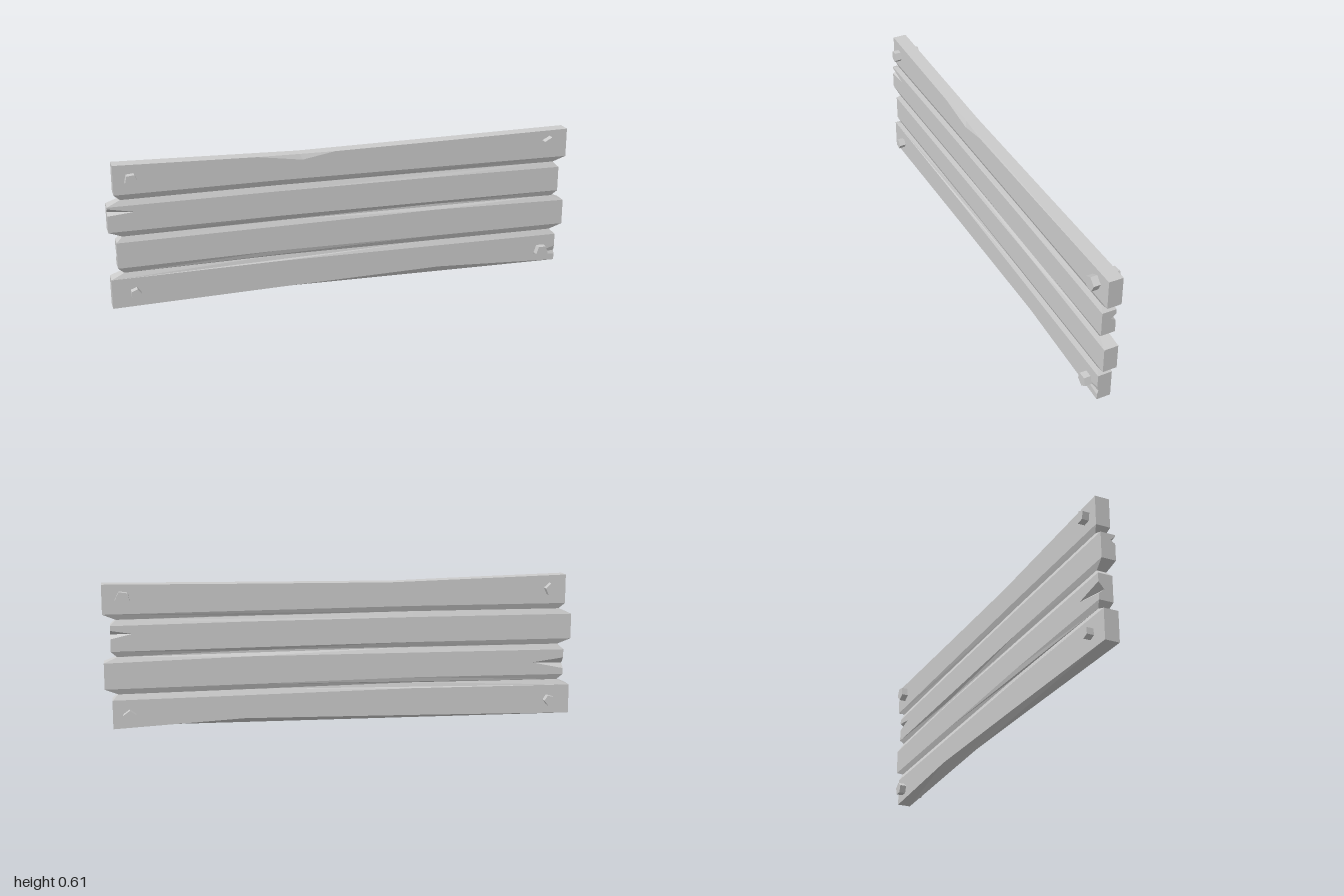
import * as THREE from 'three';

const HALF = 0.03;   // half thickness of a plank
const VALLEY = 0.02; // half thickness at the bottom of a groove
const v = (x, y, z) => new THREE.Vector3(x, y, z);

// Adds a polygon, triangulated along the main axis of its outward direction
function addFace(out, pts, outward) {
  const axis = Math.abs(outward.x) > 0.5 ? ['z', 'y'] : Math.abs(outward.y) > 0.5 ? ['x', 'z'] : ['x', 'y'];
  const flat = pts.map((p) => new THREE.Vector2(p[axis[0]], p[axis[1]]));
  for (const [a, b, c] of THREE.ShapeUtils.triangulateShape(flat, [])) addTriangle(out, pts[a], pts[b], pts[c], outward);
}

function addTriangle(out, a, b, c, outward) {
  const n = b.clone().sub(a).cross(c.clone().sub(a));
  for (const p of n.dot(outward) < 0 ? [a, c, b] : [a, b, c]) out.push(p.x, p.y, p.z);
}

// The two inner walls of a wedge-shaped split, open towards its middle
function addSplitWalls(out, { A, B, P, T }) {
  const middle = v(0, 0, 0).add(A).add(B).add(P).add(T).multiplyScalar(0.25);
  for (const q of [A, B]) {
    const centre = q.clone().add(P).add(T).divideScalar(3);
    addTriangle(out, q, P, T, middle.clone().sub(centre));
  }
}

// Long edges from bottom to top: half thickness and x, y points from left to right
function makeLines() {
  const lines = [{ z: HALF, pts: [[-1, 0], [-0.3, 0.016], [0.42, 0.03], [0.97, 0.004]] }];
  const grooves = [
    { y: 0.15, bulge: [0.008, 0.003] },
    { y: 0.308, bulge: [0.004, 0.012] },
    { y: 0.464, bulge: [0.004, 0.004] },
  ];
  grooves.forEach(({ y, bulge }, i) => {
    const below = i % 2 ? [-0.97, 1] : [-1, 0.97];
    const above = i % 2 ? [-1, 0.97] : [-0.97, 1];
    const add = (z, [l, r], h) => lines.push({ z, pts: [[l, h], [-0.3, h + bulge[0]], [0.4, h + bulge[1]], [r, h]] });
    add(HALF, below, y - 0.024);
    add(VALLEY, [-0.945, 0.945], y);
    add(HALF, above, y + 0.024);
  });
  lines.push({ z: HALF, pts: [[-0.97, 0.612], [-0.2, 0.595], [0.4, 0.603], [1, 0.612]] });
  return lines;
}

// Splits at plank ends: band, front or back, end, then corners A (lower), B (upper), P (on face), T (on end)
function makeSplits() {
  const split = (band, side, end, x, yA, yB, px, py, ty, tz) => ({
    band, side, end, A: v(x, yA, side * HALF), B: v(x, yB, side * HALF), P: v(px, py, side * HALF), T: v(x, ty, tz),
  });
  return [
    split(6, -1, 1, 0.97, 0.385, 0.42, 0.88, 0.405, 0.402, -0.008),
    split(6, 1, -1, -1, 0.402, 0.433, -0.89, 0.412, 0.415, 0.01),
    split(3, -1, -1, -0.97, 0.2, 0.248, -0.83, 0.23, 0.22, -0.006),
    split(0, 1, 1, 0.97, 0.03, 0.07, 0.87, 0.042, 0.048, 0.024),
  ];
}

export function createModel() {
  const group = new THREE.Group();
  const material = new THREE.MeshStandardMaterial({ color: 0xcccccc, flatShading: true });
  const lines = makeLines();
  const splits = makeSplits();
  // Chip on the front of the top edge
  const chip = { A: v(-0.38, 0.599, HALF), B: v(-0.05, 0.597, HALF), P: v(-0.19, 0.572, HALF), T: v(-0.2, 0.595, 0.021) };
  const last = lines.length - 1;
  const points = (i, side) => lines[i].pts.map(([x, y]) => v(x, y, side * lines[i].z));

  // Planks and the bevelled grooves between them
  for (let i = 0; i < last; i++) {
    const out = [];
    const find = (side, end) => splits.find((s) => s.band === i && s.side === side && s.end === end);
    const cut = (s, inner) => (s ? [s.A, s[inner], s.B] : []);
    const topEdge = (side, inner) => {
      const p = points(i + 1, side);
      if (i === last - 1 && side === 1) p.splice(1, 1, ...cut(chip, inner));
      return p;
    };
    for (const side of [1, -1]) {
      const outline = [
        ...points(i, side), ...cut(find(side, 1), 'P'),
        ...topEdge(side, 'P').reverse(), ...cut(find(side, -1), 'P').reverse(),
      ];
      addFace(out, outline, v(0, 0, side));
    }
    for (const end of [-1, 1]) {
      const k = end < 0 ? 0 : 3;
      const outline = [
        points(i, 1)[k], ...cut(find(1, end), 'T'), points(i + 1, 1)[k],
        points(i + 1, -1)[k], ...cut(find(-1, end), 'T').reverse(), points(i, -1)[k],
      ];
      addFace(out, outline, v(end, 0, 0));
    }
    if (i === 0) addFace(out, [...points(0, 1), ...points(0, -1).reverse()], v(0, -1, 0));
    if (i === last - 1) {
      addFace(out, [...topEdge(1, 'T'), ...topEdge(-1, 'T').reverse()], v(0, 1, 0));
      addSplitWalls(out, chip);
    }
    splits.filter((s) => s.band === i).forEach((s) => addSplitWalls(out, s));

    const geometry = new THREE.BufferGeometry();
    geometry.setAttribute('position', new THREE.Float32BufferAttribute(out, 3));
    geometry.computeVertexNormals();
    const mesh = new THREE.Mesh(geometry, material);
    mesh.name = i % 3 === 0 ? `plank${i / 3 + 1}` : `grooveBevel${i}`;
    group.add(mesh);
  }

  // Five-sided bolts standing out on both faces: x, y, radius, turn
  const bolts = [
    [-0.9, 0.552, 0.027, 0.1],
    [0.915, 0.555, 0.032, 0.5],
    [-0.905, 0.064, 0.023, 0.35],
    [0.9, 0.058, 0.029, 0.0],
  ];
  for (const [x, y, radius, turn] of bolts) {
    for (const side of [1, -1]) {
      const bolt = new THREE.Mesh(new THREE.CylinderGeometry(radius, radius, 0.039, 5), material);
      bolt.name = side > 0 ? 'frontBolt' : 'backBolt';
      bolt.rotation.set(side * Math.PI / 2, turn, 0);
      bolt.position.set(x, y, side * 0.0395);
      group.add(bolt);
    }
  }
  return group;
}
